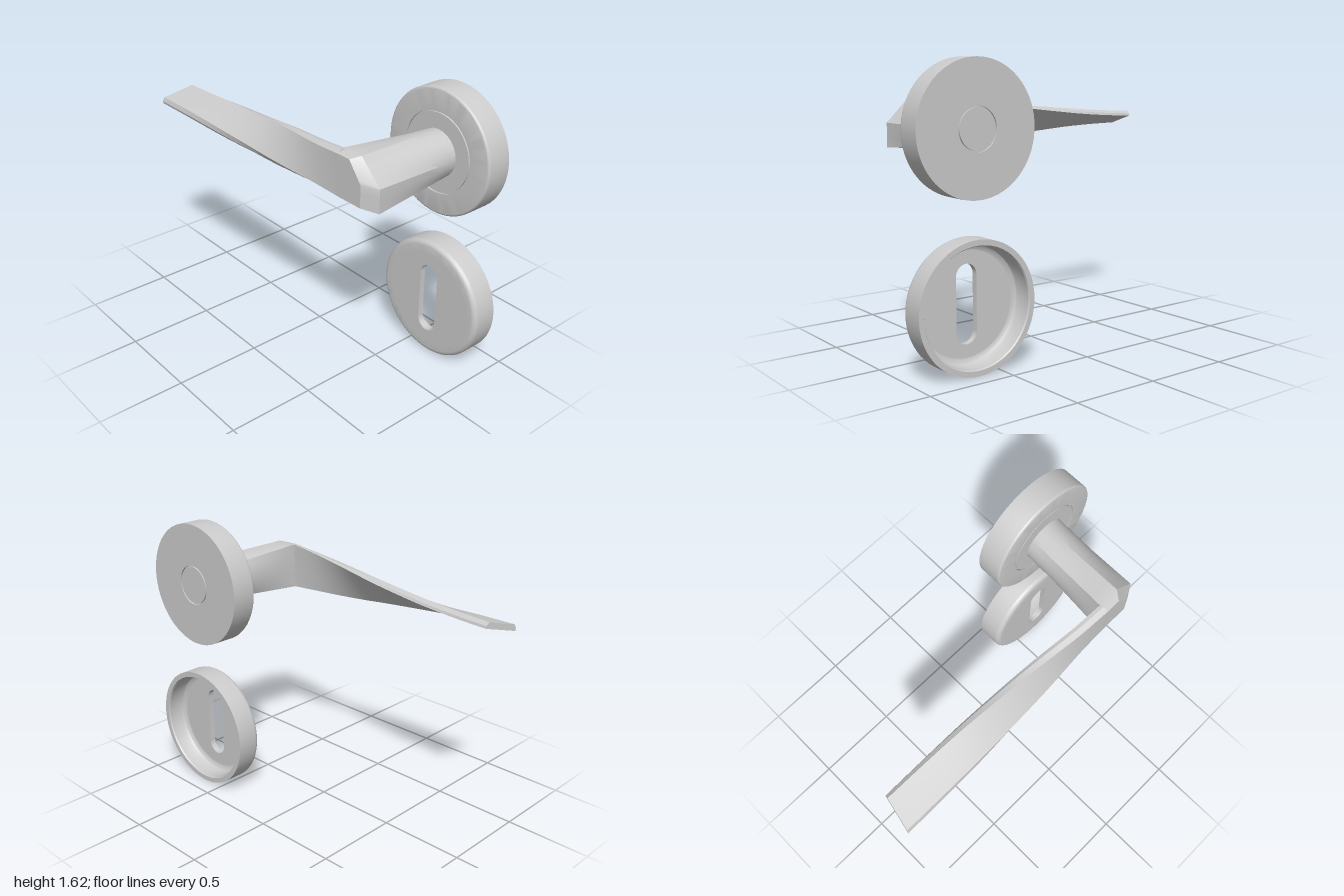
import * as THREE from 'three';
import { toCreasedNormals } from 'three/addons/utils/BufferGeometryUtils.js';

const CX = 0.645, TOP_Y = 1.265, LOW_Y = 0.357, R = 0.355;
const BACK = -0.405, FRONT = -0.255;
const metal = new THREE.MeshStandardMaterial({ color: 0xcccccc });

function part(name, geometry, crease = 0.5) {
  const mesh = new THREE.Mesh(toCreasedNormals(geometry, crease), metal);
  mesh.name = name;
  return mesh;
}

// Skin over closed rings of equal point count, capped at both ends
function loft(rings) {
  const n = rings[0].length, last = (rings.length - 1) * n, index = [];
  for (let i = 0; i < rings.length - 1; i++) {
    for (let j = 0; j < n; j++) {
      const a = i * n + j, b = i * n + (j + 1) % n;
      index.push(a, b, b + n, a, b + n, a + n);
    }
  }
  for (let j = 1; j < n - 1; j++) index.push(0, j + 1, j, last, last + j, last + j + 1);
  const g = new THREE.BufferGeometry();
  g.setAttribute('position', new THREE.Float32BufferAttribute(rings.flat(2), 3));
  g.setIndex(index);
  return g;
}

// Profile of [radius, z] turned about the z direction
function turned(name, profile, y) {
  const g = new THREE.LatheGeometry(profile.map(p => new THREE.Vector2(...p)), 72);
  g.rotateX(Math.PI / 2);
  g.translate(CX, y, 0);
  return part(name, g);
}

// Rounded front rim, from the side wall to the front face
function fillet(r) {
  return Array.from({ length: 7 }, (_, i) => {
    const a = i / 6 * Math.PI / 2;
    return [R - r + r * Math.cos(a), FRONT - r + r * Math.sin(a)];
  });
}

// Fine groove cut in a flat face; dir is the way the face looks
function groove(r, z, dir) {
  const w = 0.004;
  return [[r + dir * w, z], [r + dir * w, z - dir * 0.01], [r - dir * w, z - dir * 0.01], [r - dir * w, z]];
}

// Five-cornered outline sampled to 24 points, starting at angle 0
function outline(corners, z) {
  const steps = [6, 3, 6, 6, 3], ring = [];
  corners.forEach(([x, y], k) => {
    const [x2, y2] = corners[(k + 1) % 5];
    for (let s = 0; s < steps[k]; s++) {
      const f = s / steps[k];
      ring.push([x + (x2 - x) * f, y + (y2 - y) * f, z]);
    }
  });
  return ring;
}

function neckGeometry() {
  const circle = Array.from({ length: 24 }, (_, i) => {
    const a = i * Math.PI / 12;
    return [CX + 0.133 * Math.cos(a), TOP_Y + 0.133 * Math.sin(a), FRONT - 0.01];
  });
  const elbow = outline([[0.775, 1.27], [0.64, 1.4], [0.51, 1.4], [0.51, 1.135], [0.775, 1.135]], 0.27);
  const face = outline([[0.69, 1.275], [0.605, 1.385], [0.51, 1.385], [0.51, 1.15], [0.69, 1.15]], 0.32);
  const rings = [];
  for (let i = 0; i <= 8; i++) {
    rings.push(circle.map((p, j) => p.map((v, k) => v + (elbow[j][k] - v) * i / 8)));
  }
  rings.push(face);
  return loft(rings);
}

function leverGeometry() {
  // x, twist in degrees, blade width
  const path = new THREE.CatmullRomCurve3([
    [0.52, 0, 0.265], [0.3, 8, 0.236], [0, 29, 0.218], [-0.2, 44, 0.21],
    [-0.5, 62, 0.213], [-0.75, 71, 0.214], [-0.977, 75, 0.215],
  ].map(p => new THREE.Vector3(...p)), false, 'catmullrom');
  const rings = [];
  for (let i = 0; i <= 48; i++) {
    const p = path.getPoint(i / 48);
    const f = (0.52 - p.x) / 1.497;
    const a = THREE.MathUtils.degToRad(p.y), w = p.z / 2;
    const h = THREE.MathUtils.lerp(0.05, 0.035, f) / 2;
    const yc = THREE.MathUtils.lerp(1.2675, 1.245, f);
    const slant = 0.022 * THREE.MathUtils.smoothstep(f, 0.7, 1);
    const c = w - 0.016, m = -0.2 * h;
    // Blade section with bevelled front edges
    const section = [[-c, h], [c, h], [w, m], [w, -h], [-w, -h], [-w, m]];
    rings.push(section.map(([u, v]) => [
      p.x + slant * u / w,
      yc + u * Math.cos(a) + v * Math.sin(a),
      0.295 - u * Math.sin(a) + v * Math.cos(a),
    ]));
  }
  return loft(rings);
}

// Front plate of the key cover, with a round-ended slot
function slotPlateGeometry() {
  const shape = new THREE.Shape().absarc(0, 0, 0.29, 0, Math.PI * 2);
  const slot = new THREE.Path();
  slot.absarc(0, 0.15, 0.063, 0, Math.PI);
  slot.absarc(0, -0.15, 0.063, Math.PI, Math.PI * 2);
  slot.closePath();
  shape.holes.push(slot);
  const g = new THREE.ExtrudeGeometry(shape, { depth: 0.035, bevelEnabled: false, curveSegments: 36 });
  g.translate(CX, LOW_Y, FRONT - 0.035);
  return g;
}

export function createModel() {
  const model = new THREE.Group();
  model.name = 'doorHandleSet';

  // Handle with its round rose
  const handle = new THREE.Group();
  handle.name = 'handle';
  handle.add(
    turned('rose', [
      [0, BACK], ...groove(0.112, BACK, -1), [R, BACK],
      ...fillet(0.015), ...groove(0.225, FRONT, 1), [0, FRONT],
    ], TOP_Y),
    part('neck', neckGeometry(), 0.4),
    part('lever', leverGeometry(), 0.4),
  );

  // Hollow key cover below
  const cover = new THREE.Group();
  cover.name = 'keyCover';
  const inner = FRONT - 0.035;
  cover.add(
    turned('coverRim', [
      [0.285, inner], [0.3, inner - 0.003], [0.312, inner - 0.012], [0.32, inner - 0.03],
      [0.32, BACK + 0.008], [0.325, BACK], [R, BACK], ...fillet(0.03), [0.285, FRONT],
    ], LOW_Y),
    part('slotPlate', slotPlateGeometry()),
  );

  model.add(handle, cover);
  return model;
}
